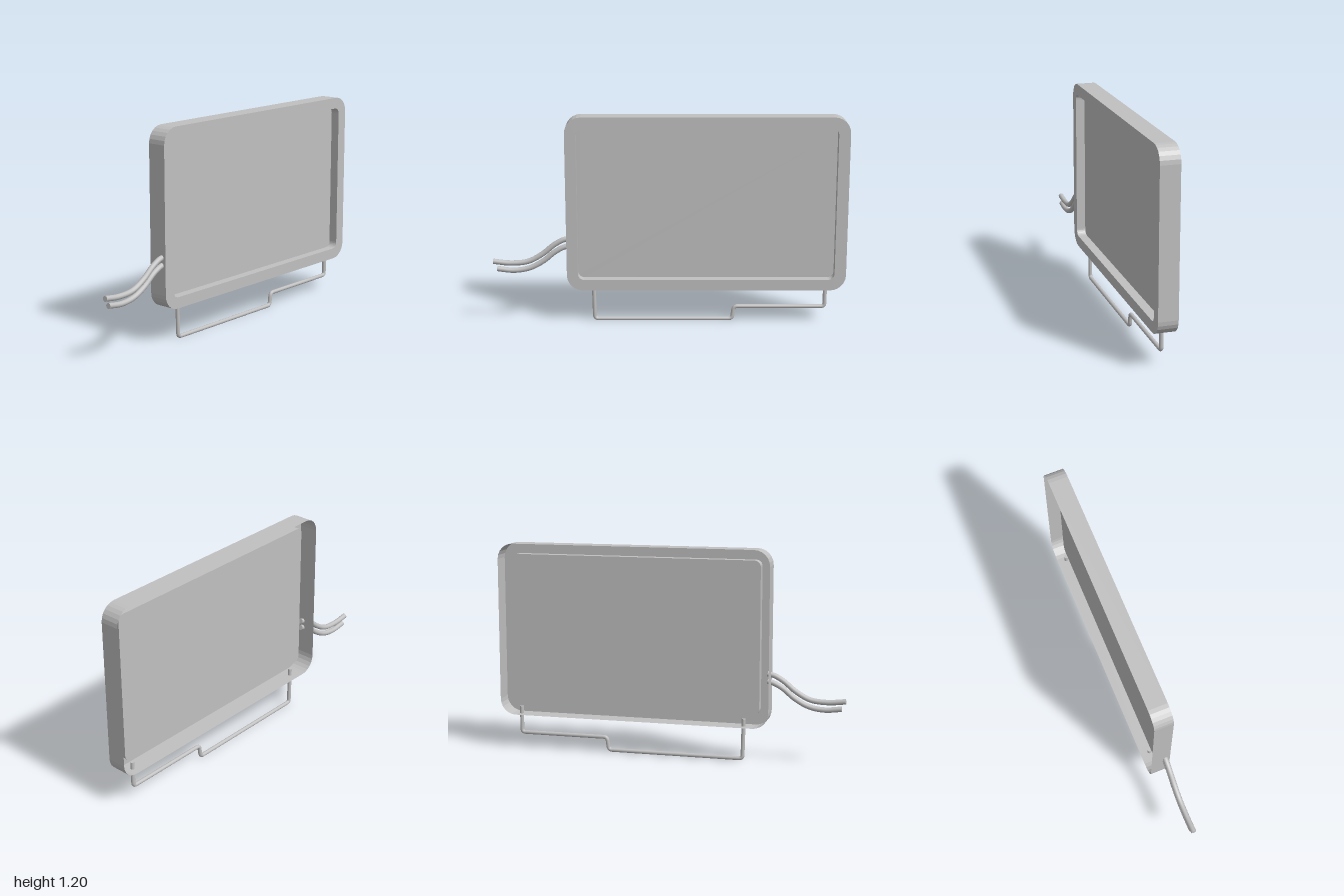
import * as THREE from 'three';

const grey = new THREE.MeshStandardMaterial({ color: 0xc0c0c0, side: THREE.DoubleSide });
grey.name = 'plain grey';

const HALF = 0.055;   // half the case thickness
const PANEL_X = 0.003; // depth of the recessed panel

// Rounded rectangle in the side plane (shape x = -z, shape y = y)
function roundedRect(x0, y0, x1, y1, r) {
  const s = new THREE.Shape();
  s.absarc(x1 - r, y0 + r, r, -Math.PI / 2, 0);
  s.absarc(x1 - r, y1 - r, r, 0, Math.PI / 2);
  s.absarc(x0 + r, y1 - r, r, Math.PI / 2, Math.PI);
  s.absarc(x0 + r, y0 + r, r, Math.PI, Math.PI * 1.5);
  s.closePath();
  return s;
}

// Open band of flat faces following an outline between two depths
function band(shape, near, far) {
  const pts = shape.getPoints(3);
  const pos = [];
  for (let i = 0; i < pts.length; i++) {
    const a = pts[i], b = pts[(i + 1) % pts.length];
    if (a.distanceTo(b) < 1e-5) continue;
    pos.push(a.x, a.y, near, b.x, b.y, near, b.x, b.y, far);
    pos.push(a.x, a.y, near, b.x, b.y, far, a.x, a.y, far);
  }
  const g = new THREE.BufferGeometry();
  g.setAttribute('position', new THREE.Float32BufferAttribute(pos, 3));
  g.computeVertexNormals();
  return g;
}

function add(parent, name, geometry) {
  const mesh = new THREE.Mesh(geometry, grey);
  mesh.name = name;
  parent.add(mesh);
  return mesh;
}

// Round bar along a curve with a disc closing each end
function cappedTube(parent, name, curve, segments, radius) {
  const group = new THREE.Group();
  group.name = name;
  add(group, name + 'Tube', new THREE.TubeGeometry(curve, segments, radius, 12, false));
  for (const t of [0, 1]) {
    const cap = add(group, name + 'End', new THREE.CircleGeometry(radius, 12));
    const p = curve.getPointAt(t);
    cap.position.copy(p);
    cap.lookAt(p.clone().addScaledVector(curve.getTangentAt(t), t ? 1 : -1));
  }
  parent.add(group);
}

// Straight runs joined by small rounded bends
function bentPath(points, r) {
  const path = new THREE.CurvePath();
  let last = points[0];
  for (let i = 1; i < points.length - 1; i++) {
    const p = points[i];
    const before = p.clone().add(points[i - 1].clone().sub(p).setLength(r));
    const after = p.clone().add(points[i + 1].clone().sub(p).setLength(r));
    path.add(new THREE.LineCurve3(last, before));
    path.add(new THREE.QuadraticBezierCurve3(before, p, after));
    last = after;
  }
  path.add(new THREE.LineCurve3(last, points[points.length - 1]));
  return path;
}

const sidePoints = (x, list) => list.map(([z, y]) => new THREE.Vector3(x, y, z));

export function createModel() {
  const model = new THREE.Group();
  model.name = 'framedPanel';

  // Case: open-backed shell, front frame, recess and panel
  const casing = new THREE.Group();
  casing.name = 'case';
  casing.rotation.y = Math.PI / 2;
  model.add(casing);

  const outer = roundedRect(-0.58, 0.203, 1.0, 1.2, 0.09);
  const inner = roundedRect(-0.518, 0.266, 0.935, 1.136, 0.035);
  add(casing, 'outerShell', band(outer, -HALF, HALF));
  add(casing, 'recessWall', band(inner, HALF, PANEL_X));
  add(casing, 'panel', new THREE.ShapeGeometry(inner, 3)).position.z = PANEL_X;
  const frame = outer.clone();
  frame.holes.push(inner);
  add(casing, 'frontFrame', new THREE.ShapeGeometry(frame, 3)).position.z = HALF;

  // Bent wire stand with one step
  const wire = sidePoints(-0.002, [
    [0.432, 0.245], [0.427, 0.016], [-0.36, 0.016],
    [-0.37, 0.09], [-0.89, 0.09], [-0.89, 0.245],
  ]);
  cappedTube(model, 'wireStand', bentPath(wire, 0.02), 200, 0.0115);

  // Two drooping cables
  const cables = {
    upperCable: [[0.998, 0.368], [0.9, 0.358], [0.8, 0.368], [0.72, 0.41],
      [0.65, 0.466], [0.6, 0.494], [0.56, 0.504]],
    lowerCable: [[0.976, 0.325], [0.88, 0.315], [0.79, 0.33], [0.71, 0.373],
      [0.65, 0.422], [0.6, 0.45], [0.56, 0.462]],
  };
  for (const [name, list] of Object.entries(cables)) {
    cappedTube(model, name, new THREE.CatmullRomCurve3(sidePoints(0.027, list)), 40, 0.0155);
  }
  return model;
}
